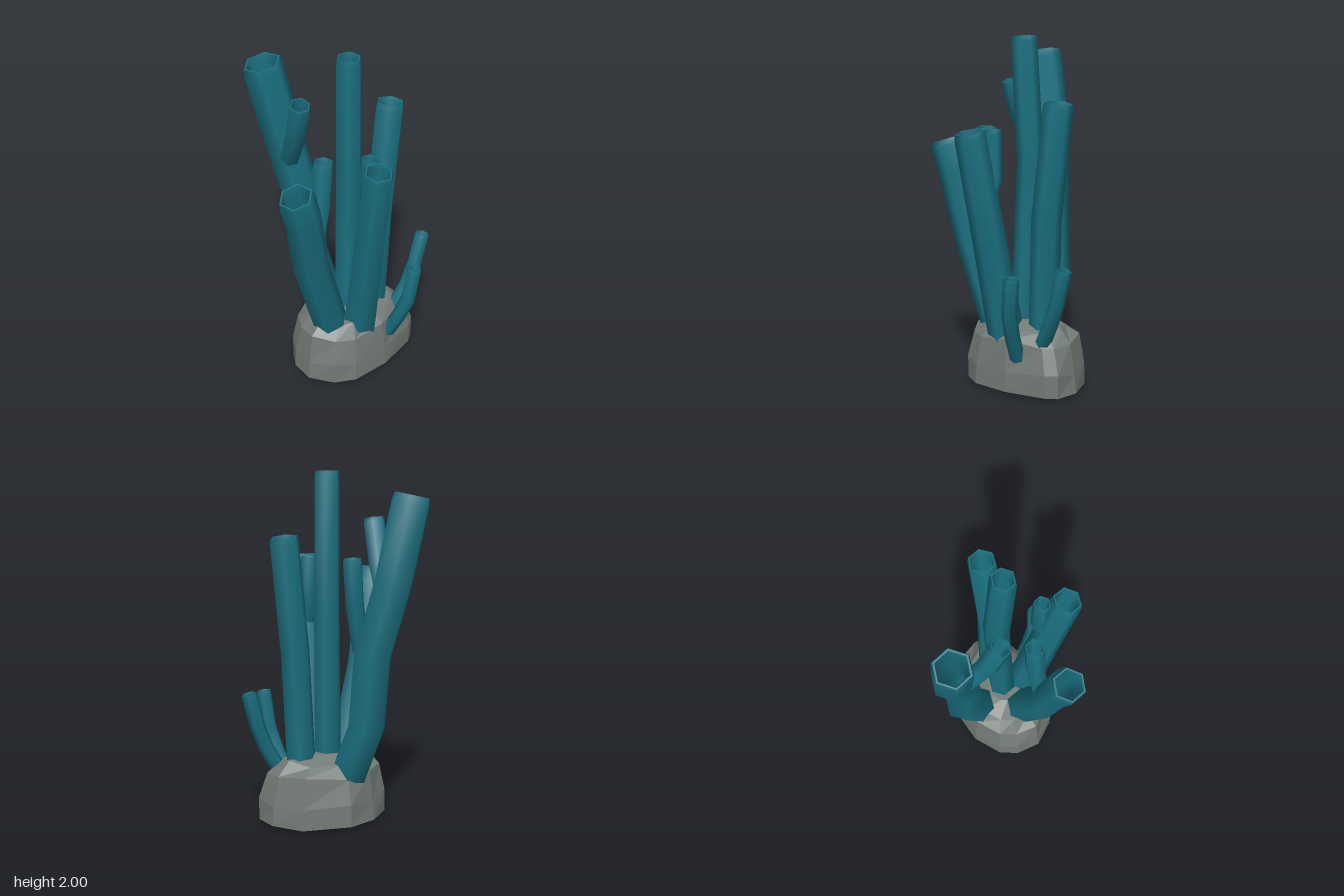
import * as THREE from 'three';
import { toCreasedNormals } from 'three/addons/utils/BufferGeometryUtils.js';

const SIDES = 6;

// Skins a list of equally sized rings (arrays of Vector3), lowest first
function skin(rings, capStart, capEnd) {
  const pos = [];
  const tri = (...pts) => pts.forEach((p) => pos.push(p.x, p.y, p.z));
  const n = rings[0].length;
  for (let k = 0; k < rings.length - 1; k++) {
    for (let i = 0; i < n; i++) {
      const j = (i + 1) % n;
      const [a, b] = [rings[k], rings[k + 1]];
      tri(a[i], a[j], b[j]);
      tri(a[i], b[j], b[i]);
    }
  }
  const last = rings[rings.length - 1];
  for (let i = 0; i < n; i++) {
    const j = (i + 1) % n;
    if (capStart) tri(rings[0][j], rings[0][i], capStart);
    if (capEnd) tri(last[i], last[j], capEnd);
  }
  const geometry = new THREE.BufferGeometry();
  geometry.setAttribute('position', new THREE.Float32BufferAttribute(pos, 3));
  geometry.computeVertexNormals();
  return geometry;
}

// Hollow six-sided tube along a bent path, with a bevelled rim
function spongeTube(path, r0, r1) {
  const pts = path.map((p) => new THREE.Vector3(...p));
  const end = pts.length - 1;
  const tangentAt = (k) => {
    const t = new THREE.Vector3();
    if (k > 0) t.add(pts[k].clone().sub(pts[k - 1]).normalize());
    if (k < end) t.add(pts[k + 1].clone().sub(pts[k]).normalize());
    return t.normalize();
  };
  const ring = (k, scale, drop = 0) => {
    const t = tangentAt(k);
    const u = new THREE.Vector3(1, 0, 0).addScaledVector(t, -t.x).normalize();
    const w = t.clone().cross(u);
    const r = THREE.MathUtils.lerp(r0, r1, k / end) * scale;
    return Array.from({ length: SIDES }, (_, i) => {
      const a = (i / SIDES) * Math.PI * 2;
      return pts[k].clone().addScaledVector(t, -drop)
        .addScaledVector(u, r * Math.cos(a)).addScaledVector(w, r * Math.sin(a));
    });
  };
  const rings = [];
  for (let k = 0; k < end; k++) rings.push(ring(k, 1));
  rings.push(ring(end, 1, r1 * 0.35), ring(end, 0.92), ring(end, 0.82), ring(end, 0.74, r1 * 0.35));
  for (let k = end - 1; k >= 0; k--) rings.push(ring(k, 0.72));
  return toCreasedNormals(skin(rings), 1.15);
}

// Faceted boulder: one outline shrunk upward in uneven rings
function rockGeometry() {
  const outline = [
    [0.41, 0.03], [0.38, -0.11], [0.25, -0.255], [-0.03, -0.29], [-0.2, -0.22], [-0.32, -0.09],
    [-0.35, 0.02], [-0.32, 0.16], [-0.2, 0.26], [-0.07, 0.285], [0.15, 0.22], [0.365, 0.09],
  ];
  const levels = [[0.022, 1], [0.14, 0.985], [0.305, 0.89], [0.37, 0.68], [0.398, 0.32]];
  const rings = levels.map(([y, s], k) => outline.map(([x, z], i) => {
    const bump = k > 0 && k < 4 ? Math.sin(i * 2.3 + k * 1.9) : 0;
    return new THREE.Vector3(x * s * (1 + bump * 0.02), y + bump * 0.015, z * s * (1 + bump * 0.02));
  }));
  return skin(rings, new THREE.Vector3(0.02, 0, 0), new THREE.Vector3(0.02, 0.4, 0));
}

// name, path points, radius at base, radius at tip
const TUBES = [
  ['centreTube', [[0, 0.3, 0], [0.018, 1.3, -0.03], [0.003, 2, 0.005]], 0.08, 0.073],
  ['backTube', [[-0.07, 0.3, -0.155], [-0.13, 0.6, -0.265], [-0.16, 1, -0.27], [-0.25, 1.4, -0.335], [-0.36, 1.885, -0.335]], 0.112, 0.115],
  ['backBranch', [[-0.245, 1.3, -0.26], [-0.25, 1.5, -0.14], [-0.25, 1.735, -0.065]], 0.06, 0.064],
  ['rightTube', [[-0.135, 0.3, 0.08], [-0.3, 0.85, 0.18], [-0.365, 1.22, 0.24], [-0.415, 1.395, 0.27]], 0.102, 0.104],
  ['rightBranch', [[-0.28, 0.9, 0.17], [-0.22, 1.2, 0.135], [-0.2, 1.48, 0.13]], 0.054, 0.059],
  ['frontTube', [[0.02, 0.3, 0.13], [0.02, 0.85, 0.235], [0.02, 1.49, 0.362]], 0.104, 0.088],
  ['frontBranch', [[0.02, 1.05, 0.27], [0.03, 1.22, 0.215], [0.03, 1.495, 0.225]], 0.047, 0.052],
  ['leftTube', [[0.17, 0.3, -0.025], [0.205, 1, -0.02], [0.277, 1.65, -0.05]], 0.086, 0.084],
  ['leftSprout', [[0.265, 0.28, 0.05], [0.355, 0.43, 0.05], [0.412, 0.57, 0.042], [0.463, 0.765, 0.03]], 0.044, 0.045],
  ['frontSprout', [[0.19, 0.22, 0.16], [0.235, 0.37, 0.22], [0.27, 0.5, 0.258], [0.3, 0.715, 0.265]], 0.042, 0.045],
];

export function createModel() {
  const model = new THREE.Group();
  model.name = 'tubeSponge';

  const rock = new THREE.Mesh(rockGeometry(),
    new THREE.MeshStandardMaterial({ color: 0x747c77, flatShading: true }));
  rock.name = 'rock';
  model.add(rock);

  const teal = new THREE.MeshStandardMaterial({ color: 0x1a7080 });
  for (const [name, path, r0, r1] of TUBES) {
    const tube = new THREE.Mesh(spongeTube(path, r0, r1), teal);
    tube.name = name;
    model.add(tube);
  }
  return model;
}
